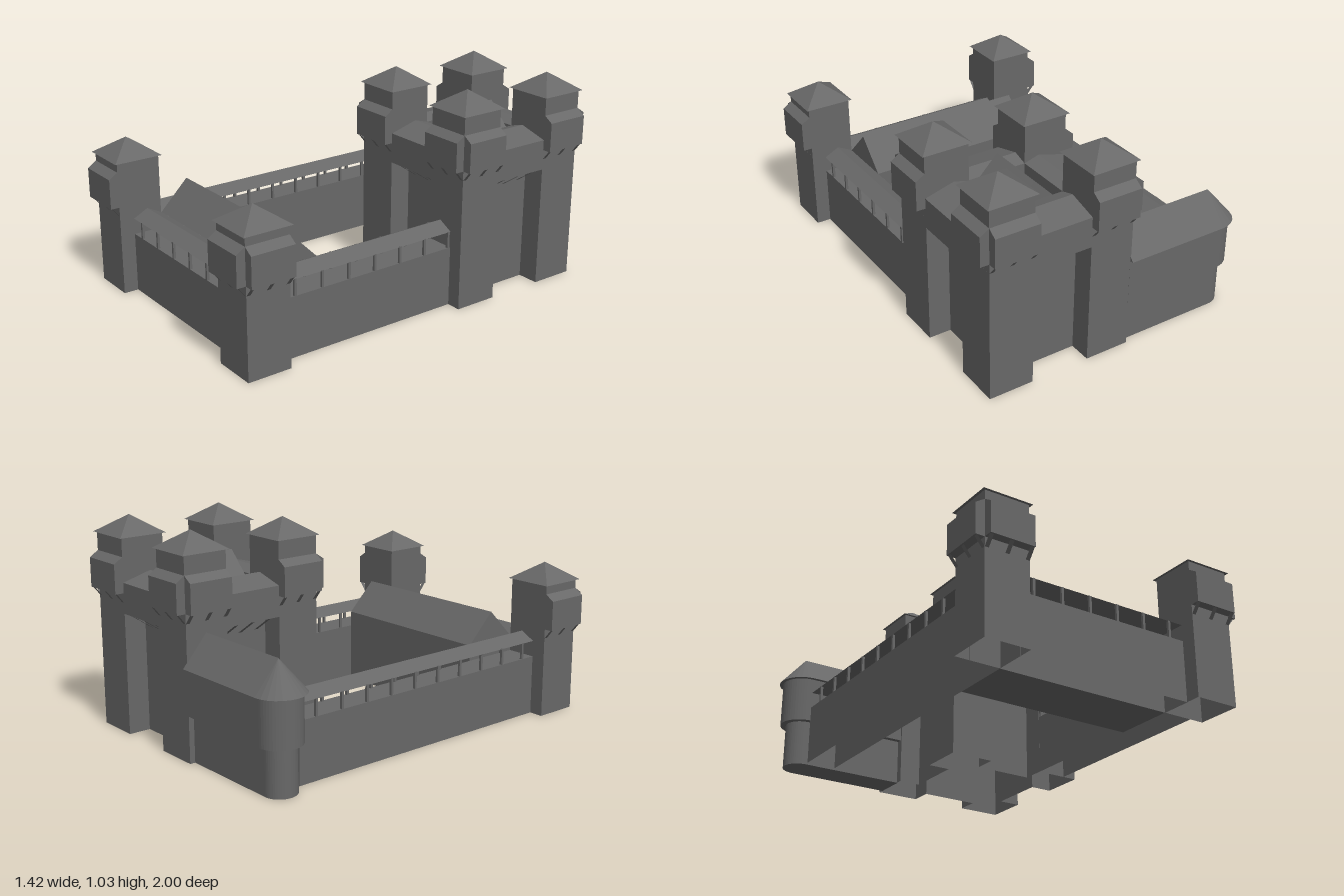
import * as THREE from 'three';

const stone = new THREE.MeshStandardMaterial({ color: 0x686868, flatShading: true, side: THREE.DoubleSide });
stone.name = 'grey stone';

function add(parent, name, geometry) {
  const mesh = new THREE.Mesh(geometry, stone);
  mesh.name = name;
  parent.add(mesh);
  return mesh;
}

// Box given by its limits; hollow ones have no underside
function block(parent, name, x0, x1, y0, y1, z0, z1, hollow = false) {
  const g = new THREE.BoxGeometry(x1 - x0, y1 - y0, z1 - z0);
  g.translate((x0 + x1) / 2, (y0 + y1) / 2, (z0 + z1) / 2);
  if (hollow) {
    const index = Array.from(g.index.array);
    index.splice(18, 6);
    g.setIndex(index);
    g.clearGroups();
  }
  return add(parent, name, g);
}

const outline = points => new THREE.Shape(points.map(p => new THREE.Vector2(...p)));

// Cross-section (outward, up) extruded along local z, centred
function prism(parent, name, points, length) {
  const g = new THREE.ExtrudeGeometry(outline(points), { depth: length, bevelEnabled: false });
  g.translate(0, 0, -length / 2);
  return add(parent, name, g);
}

// Group whose local +x looks along the chosen side
const TURN = { right: Math.PI, left: 0, front: -Math.PI / 2, back: Math.PI / 2 };
function facing(parent, name, side, x, z) {
  const g = new THREE.Group();
  g.name = name;
  g.position.set(x, 0, z);
  g.rotation.y = TURN[side];
  parent.add(g);
  return g;
}

// Row of thin slanted braces under an overhang
function braces(parent, inner, outer, top, drop, spacing) {
  for (const i of [-1, 0, 1]) {
    const run = outer - inner;
    const g = new THREE.PlaneGeometry(Math.hypot(run, drop), 0.02);
    g.rotateX(Math.PI / 2);
    g.rotateZ(Math.atan2(drop, run));
    add(parent, 'brace', g).position.set(inner + run / 2, top - drop / 2, i * spacing);
  }
}

const R = 0.11; // half width of a tower

// Square tower with pyramid roof and overhanging galleries (low..shoulder) on its outer sides
function tower(parent, name, x, z, base, h, low, shoulder, sides) {
  const g = new THREE.Group();
  g.name = name;
  g.position.set(x, 0, z);
  parent.add(g);
  block(g, 'towerBody', -R, R, base, h, -R, R, true);
  const roof = new THREE.ConeGeometry(0.123 * Math.SQRT2, 0.085, 4);
  roof.rotateY(Math.PI / 4);
  add(g, 'towerRoof', roof).position.y = h + 0.0425;
  for (const side of sides) {
    const f = facing(g, side + 'Gallery', side, 0, 0);
    prism(f, 'galleryBox', [[R - 0.005, low], [R + 0.044, low], [R + 0.044, shoulder],
      [R, shoulder + 0.029], [R - 0.005, shoulder + 0.029]], 2 * R);
    braces(f, R, R + 0.036, low, 0.045, 0.1);
  }
}

// Curtain wall with posts and a low ridged roof, running along local z
function curtain(parent, name, side, x, z, length, posts) {
  const g = facing(parent, name, side, x, z);
  const w = 0.074;
  block(g, 'wall', -w, w, 0, 0.293, -length / 2, length / 2, true);
  prism(g, 'wallRoof', [[-w, 0.372], [w, 0.372], [0, 0.41]], length);
  for (const p of posts) for (const s of [-1, 1]) {
    block(g, 'post', s * (w - 0.006) - 0.006, s * (w - 0.006) + 0.006, 0.293, 0.374, p - 0.006, p + 0.006);
  }
}

export function createModel() {
  const castle = new THREE.Group();
  castle.name = 'castle';

  // Front corner towers
  tower(castle, 'frontRightTower', -0.549, 0.845, 0, 0.665, 0.445, 0.592, ['front', 'right']);
  tower(castle, 'frontLeftTower', 0.553, 0.845, 0, 0.665, 0.445, 0.592, ['front', 'left']);

  // Keep: one notched base carrying four towers and a gabled roof
  const keep = new THREE.Group();
  keep.name = 'keep';
  keep.position.set(0.2975, 0, -0.5885);
  castle.add(keep);
  const d = 0.256, out = d + R, gap = d - R, baseTop = 0.69;
  const corners = [];
  for (let i = 0; i < 4; i++) {
    const c = [1, 0, -1, 0][i], s = [0, 1, 0, -1][i];
    for (const [u, v] of [[d, -gap], [d, gap], [out, gap], [out, out], [gap, out]]) {
      corners.push([u * c - v * s, u * s + v * c]);
    }
  }
  const base = new THREE.ExtrudeGeometry(outline(corners), { depth: baseTop, bevelEnabled: false });
  // Drop the underside, which comes first in the lids
  const skip = base.groups[0].count / 2;
  const open = new THREE.BufferGeometry();
  open.setAttribute('position', new THREE.BufferAttribute(base.attributes.position.array.slice(skip * 3), 3));
  open.computeVertexNormals();
  open.rotateX(-Math.PI / 2);
  add(keep, 'keepBase', open);
  for (const [sx, ns] of [[-1, 'right'], [1, 'left']]) {
    for (const [sz, nz] of [[1, 'front'], [-1, 'back']]) {
      tower(keep, nz + ns + 'KeepTower', sx * d, sz * d, baseTop, 0.95, baseTop, 0.832, [nz, ns]);
    }
  }
  prism(keep, 'keepRoof', [[-gap, 0.705], [gap, 0.705], [0, 0.855]], 2 * gap);

  // Overhanging galleries between the keep towers
  for (const side of ['front', 'back', 'left', 'right']) {
    const f = facing(keep, side + 'KeepGallery', side, 0, 0);
    prism(f, 'galleryBox', [[gap, 0.592], [out, 0.592], [out, 0.74], [out - 0.146, 0.78], [gap, 0.758]], 2 * gap);
    braces(f, d, out - 0.004, 0.592, 0.072, 0.092);
  }

  // Curtain walls
  const row = (n, start, step) => Array.from({ length: n }, (_, i) => start + i * step);
  const leftMid = 0.257, rightMid = -0.0025;
  curtain(castle, 'leftCurtain', 'left', 0.518, leftMid, 0.96, row(7, 0.66 - leftMid, -0.1453));
  curtain(castle, 'rightCurtain', 'right', -0.514, rightMid, 1.485,
    row(10, 0.66 - rightMid, -0.1453).map(p => -p));
  curtain(castle, 'frontCurtain', 'front', 0.002, 0.808, 0.886, row(6, -0.3675, 0.147));

  // Hall behind the front wall
  const hall = facing(castle, 'hall', 'front', 0.002, 0.587);
  prism(hall, 'hallBody', [[-0.147, 0], [0.147, 0], [0.147, 0.37], [0, 0.517], [-0.147, 0.37]], 0.882);

  // Round-ended house at the back
  const house = new THREE.Group();
  house.name = 'roundHouse';
  house.position.z = -0.849;
  castle.add(house);
  const cx = -0.586, end = -0.065;
  const story = (name, r, y0, y1) => {
    const s = new THREE.Shape();
    s.moveTo(end, r);
    s.lineTo(cx, r);
    s.absarc(cx, 0, r, Math.PI / 2, Math.PI * 1.5, false);
    s.lineTo(end, -r);
    const g = new THREE.ExtrudeGeometry(s, { depth: y1 - y0, bevelEnabled: false, curveSegments: 12 });
    g.rotateX(-Math.PI / 2);
    add(house, name, g).position.y = y0;
  };
  story('lowerStory', 0.079, 0, 0.223);
  story('upperStory', 0.106, 0.223, 0.447);
  const rr = 0.125, rise = 0.145;
  const ridge = facing(house, 'ridgeRoof', 'front', (cx + end) / 2, 0);
  prism(ridge, 'roof', [[-rr, 0.445], [rr, 0.445], [0, 0.445 + rise]], end - cx);
  const cone = new THREE.ConeGeometry(rr, rise, 12, 1, false, Math.PI, Math.PI);
  add(house, 'roundRoofEnd', cone).position.set(cx, 0.445 + rise / 2, 0);

  return castle;
}
